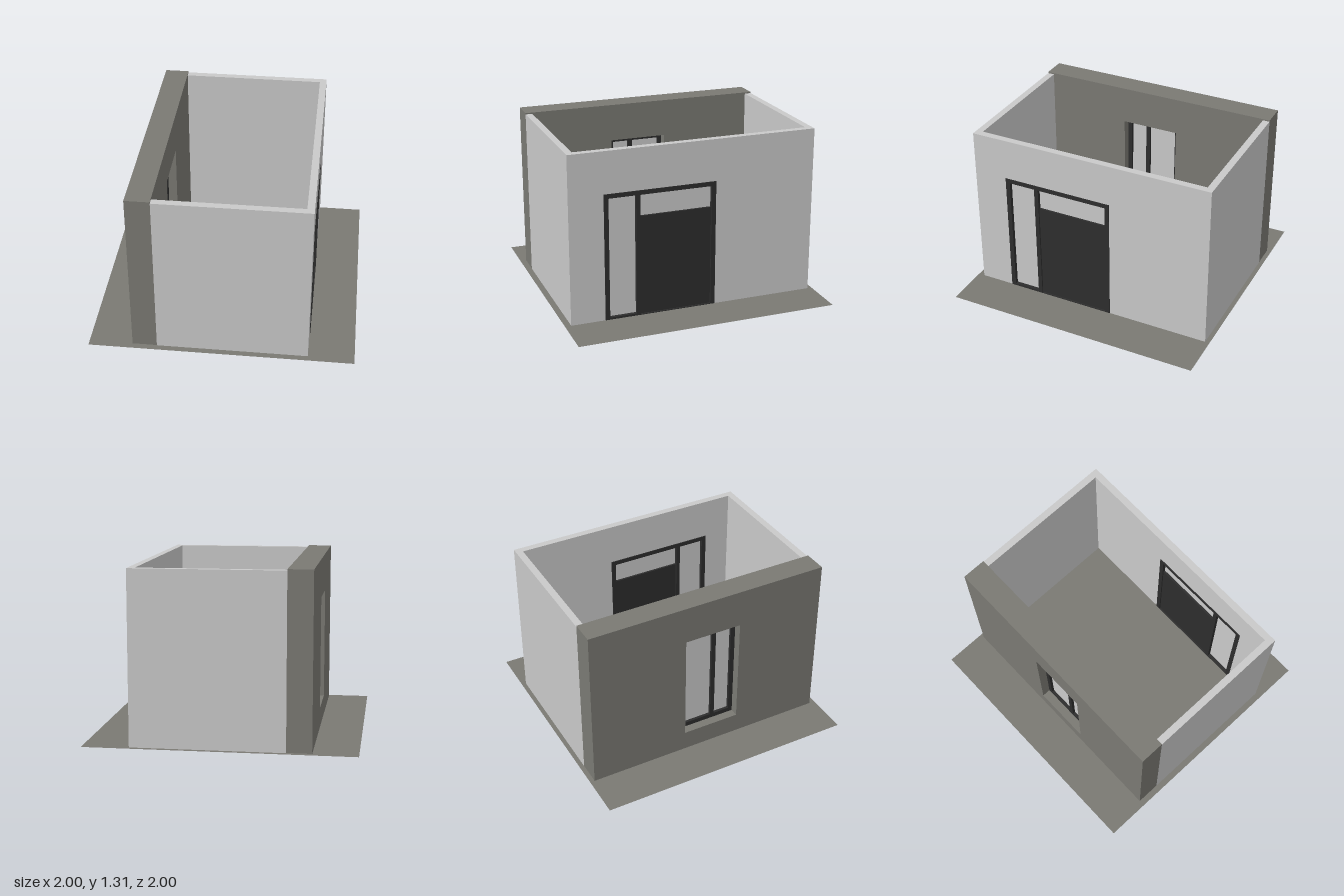
import * as THREE from 'three';

const wallPaint = new THREE.MeshStandardMaterial({ color: 0xc9c9c9 });
wallPaint.name = 'light wall';
const stone = new THREE.MeshStandardMaterial({ color: 0x7a7973, side: THREE.DoubleSide });
stone.name = 'grey stone';
const darkMetal = new THREE.MeshStandardMaterial({ color: 0x2d2d2d });
darkMetal.name = 'dark frame';

// Box given by its limits on each axis
function box(name, material, [x0, x1], [y0, y1], [z0, z1]) {
  const mesh = new THREE.Mesh(new THREE.BoxGeometry(x1 - x0, y1 - y0, z1 - z0), material);
  mesh.position.set((x0 + x1) / 2, (y0 + y1) / 2, (z0 + z1) / 2);
  mesh.name = name;
  return mesh;
}

const rectangle = ([z0, z1], [y0, y1]) => [[z0, y0], [z1, y0], [z1, y1], [z0, y1]].map(p => new THREE.Vector2(...p));

// Upright slab across x, outlined by z,y points, with optional holes
function slab(name, material, [x0, x1], outline, holes = []) {
  const shape = new THREE.Shape(outline);
  shape.holes = holes.map(h => new THREE.Path(h));
  const geometry = new THREE.ExtrudeGeometry(shape, { depth: x1 - x0, bevelEnabled: false });
  geometry.rotateY(-Math.PI / 2).translate(x1, 0, 0);
  const mesh = new THREE.Mesh(geometry, material);
  mesh.name = name;
  return mesh;
}

export function createModel() {
  const model = new THREE.Group();
  model.name = 'room';

  // Ground sheet
  const ground = new THREE.Mesh(new THREE.PlaneGeometry(2, 2).rotateX(-Math.PI / 2), stone);
  ground.position.y = 0.003;
  ground.name = 'ground';
  model.add(ground);

  // Light walls: front, back and the side wall with the doorway
  model.add(box('frontWall', wallPaint, [-0.485, 0.6], [0, 1.3], [0.9, 0.953]));
  model.add(box('backWall', wallPaint, [-0.485, 0.6], [0, 1.3], [-0.965, -0.912]));
  const doorway = [[-0.965, 0], [-0.175, 0], [-0.175, 0.98], [0.69, 0.98], [0.69, 0], [0.953, 0], [0.953, 1.3], [-0.965, 1.3]];
  model.add(slab('doorWall', wallPaint, [0.6, 0.653], doorway.map(p => new THREE.Vector2(...p))));

  // Thick stone wall with a tall window opening
  const windowZ = [-0.196, 0.256], windowY = [0.16, 1.017];
  model.add(slab('windowWall', stone, [-0.67, -0.485],
    rectangle([-0.965, 0.953], [0.005, 1.31]), [rectangle(windowZ, windowY)]));

  // Window frame with two panes
  const windowUnit = new THREE.Group();
  windowUnit.name = 'window';
  windowUnit.add(slab('windowFrame', darkMetal, [-0.603, -0.552], rectangle(windowZ, windowY), [
    rectangle([-0.161, 0.06], [0.195, 0.982]),
    rectangle([0.093, 0.221], [0.195, 0.982]),
  ]));
  windowUnit.add(box('windowPanes', wallPaint, [-0.581, -0.573], [0.19, 0.99], [-0.165, 0.225]));
  model.add(windowUnit);

  // Door unit: frame, side light, transom and leaf
  const door = new THREE.Group();
  door.name = 'door';
  door.add(slab('doorFrame', darkMetal, [0.594, 0.657], rectangle([-0.175, 0.69], [0.004, 0.98]), [
    rectangle([0.447, 0.655], [0.02, 0.946]),
    rectangle([-0.14, 0.415], [0.01, 0.946]),
  ]));
  door.add(box('sideLight', wallPaint, [0.621, 0.629], [0.015, 0.95], [0.44, 0.66]));
  door.add(box('transom', wallPaint, [0.621, 0.629], [0.775, 0.95], [-0.145, 0.42]));
  door.add(box('doorLeaf', darkMetal, [0.605, 0.645], [0.006, 0.78], [-0.145, 0.42]));
  model.add(door);

  return model;
}
